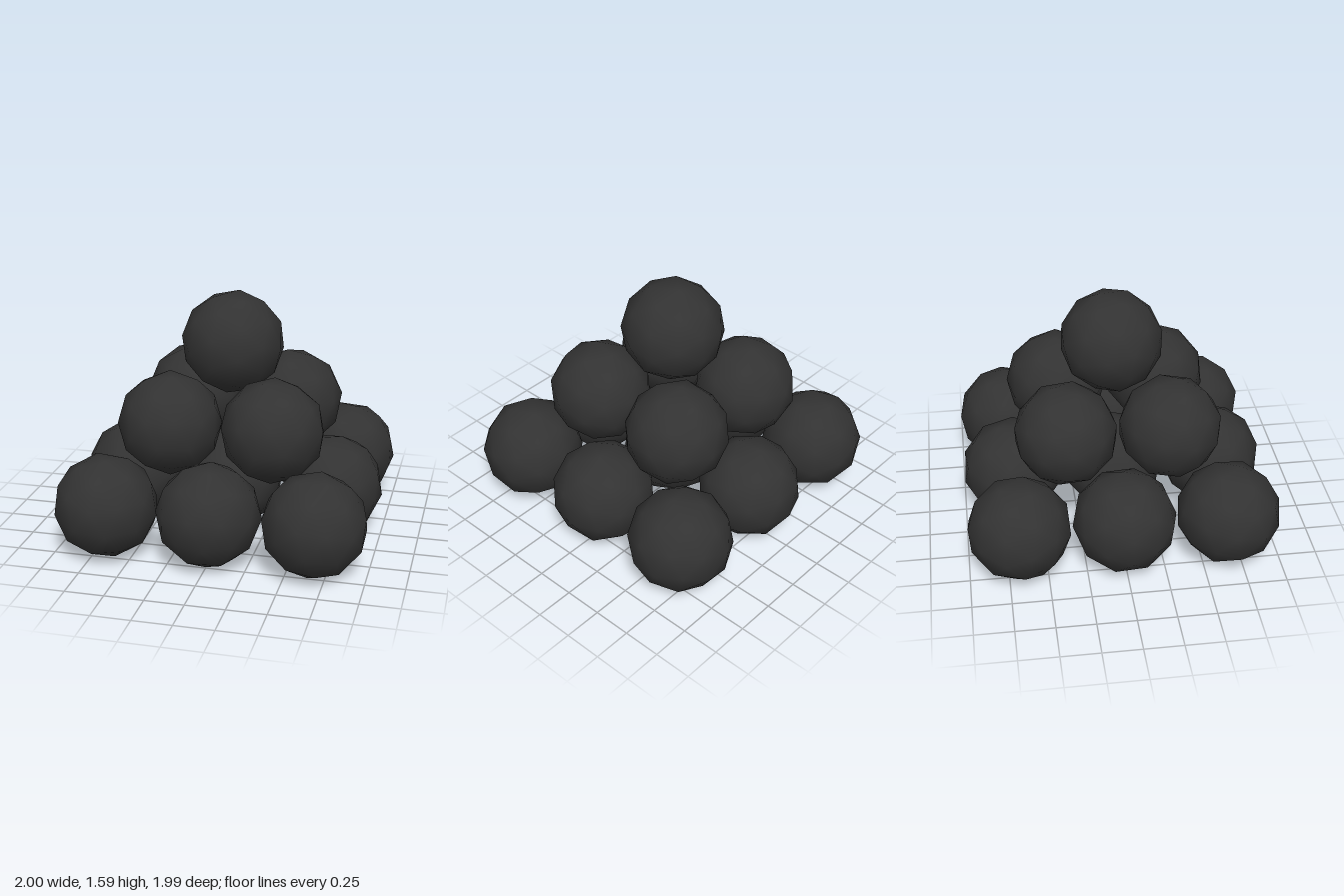
import * as THREE from 'three';

export function createModel() {
  const group = new THREE.Group();
  group.name = 'ballPyramid';
  const iron = new THREE.MeshStandardMaterial({ color: 0x333333 });
  iron.name = 'darkIron';

  const radius = 0.335;
  const spacing = 0.67;
  const layerRise = 0.467;

  // Faceted outline with smooth shading, shared by every ball
  const ballGeometry = new THREE.IcosahedronGeometry(radius, 1);

  let seed = 11;
  const random = () => {
    seed = (seed * 16807) % 2147483647;
    return seed / 2147483647;
  };

  // Square layers of 3 x 3, 2 x 2 and 1, each resting in the hollows below
  ['bottomBall', 'middleBall', 'topBall'].forEach((name, layer) => {
    const count = 3 - layer;
    const offset = (count - 1) / 2;
    for (let row = 0; row < count; row++) {
      for (let column = 0; column < count; column++) {
        const ball = new THREE.Mesh(ballGeometry, iron);
        ball.name = name;
        ball.position.set((column - offset) * spacing, radius + layer * layerRise, (row - offset) * spacing);
        // Each ball has rolled to its own angle
        ball.rotation.set(random() * 6.28, random() * 6.28, random() * 6.28);
        group.add(ball);
      }
    }
  });

  return group;
}
